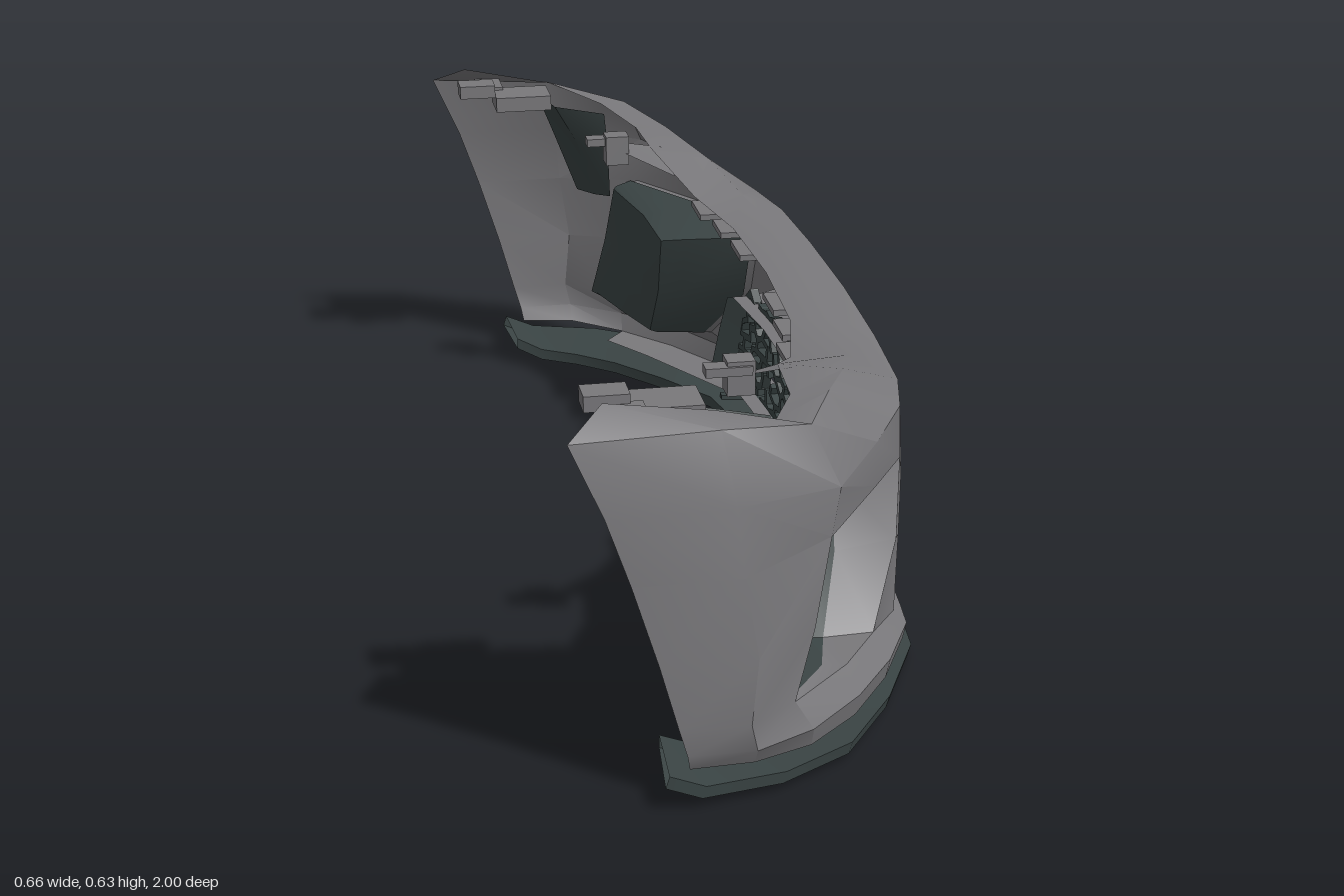
import * as THREE from 'three';
import { mergeGeometries, toCreasedNormals } from 'three/addons/utils/BufferGeometryUtils.js';

const paint = new THREE.MeshStandardMaterial({ color: 0x79787b, side: THREE.DoubleSide });
paint.name = 'grey body paint';
const plastic = new THREE.MeshStandardMaterial({ color: 0x3a4444, side: THREE.DoubleSide });
plastic.name = 'dark plastic';

// Surface spanned between rows of [x, y, z] points
function loft(rows, closed = false) {
  const pos = [], n = rows[0].length, last = closed ? rows.length : rows.length - 1;
  for (let i = 0; i < last; i++) {
    const a = rows[i], b = rows[(i + 1) % rows.length];
    for (let j = 0; j < n - 1; j++) {
      pos.push(...a[j], ...b[j], ...b[j + 1], ...a[j], ...b[j + 1], ...a[j + 1]);
    }
  }
  const g = new THREE.BufferGeometry();
  g.setAttribute('position', new THREE.Float32BufferAttribute(pos, 3));
  return toCreasedNormals(g, 0.6);
}

const flip = ([x, y, z]) => [x, y, -z];
// Half row (centre to left end) extended to the full width
const fullRow = (row) => [...row.slice(1).reverse(), row[0], ...row.slice(1).map(flip)];
const shift = (row, dx, dy = 0) => row.map(([x, y, z]) => [x + dx, y + dy, z]);

function box(x0, x1, y0, y1, z0, z1) {
  return new THREE.BoxGeometry(x1 - x0, y1 - y0, Math.abs(z1 - z0))
    .translate((x0 + x1) / 2, (y0 + y1) / 2, (z0 + z1) / 2);
}

// Thin bar between two points
function bar(a, b, t, d) {
  const va = new THREE.Vector3(...a), vb = new THREE.Vector3(...b);
  const m = new THREE.Object3D();
  m.position.copy(va).add(vb).multiplyScalar(0.5);
  m.lookAt(vb);
  m.updateMatrix();
  return new THREE.BoxGeometry(d, t, va.distanceTo(vb) + t * 0.6).applyMatrix4(m.matrix);
}

export function createModel() {
  const model = new THREE.Group();
  model.name = 'frontBumper';
  const add = (name, geometry, material) => {
    const mesh = new THREE.Mesh(geometry, material);
    mesh.name = name;
    model.add(mesh);
  };
  const addPair = (name, rows, material) => {
    add(name + 'Left', loft(rows), material);
    add(name + 'Right', loft(rows.map((r) => r.map(flip).reverse())), material);
  };

  // Upper fascia: rear flange, crest, crease, lower edge
  const flange = [[.165, .488, 0], [.155, .488, .25], [.115, .495, .43], [.06, .545, .58], [.05, .55, .72], [0, .565, .85], [-.1, .603, .89], [-.27, .634, .91]];
  const crest = [[.24, .488, 0], [.235, .488, .25], [.21, .492, .43], [.17, .525, .57], [.11, .55, .72], [.05, .562, .87], [-.1, .592, .94], [-.33, .598, .97]];
  const crease = [[.308, .452, 0], [.303, .452, .25], [.292, .452, .45], [.265, .455, .57], [.19, .46, .72], [.09, .47, .9], [-.08, .48, .97], [-.278, .48, .978]];
  const edge = [[.318, .295, 0], [.312, .295, .25], [.3, .29, .46], [.27, .36, .56], [.19, .385, .72], [.08, .385, .89], [-.07, .37, .98], [-.24, .37, .98]];
  add('upperFascia', loft([flange, crest, crease, edge].map(fullRow)), paint);

  // Raised centre plate mount
  const mountTop = [[.314, .435, 0], [.31, .435, .23]];
  const mountBottom = [[.322, .29, 0], [.317, .29, .19]];
  add('plateMount', loft([shift(mountTop, -.02), mountTop, mountBottom, shift(mountBottom, -.03)].map(fullRow)), paint);

  // Side panels behind the lamp openings
  addPair('sidePanel', [
    edge.slice(5),
    [[.05, .25, .92], [-.05, .24, .988], [-.2, .24, .985]],
    [[.02, .13, .925], [-.06, .13, .988], [-.17, .13, .987]],
    [[.05, .08, .925], [-.05, .085, .985], [-.157, .085, .985]],
    [[.05, .045, .91], [-.05, .055, .965], [-.152, .058, .975]],
  ], paint);

  // Pillars between grille and lamps
  addPair('pillar', [
    [edge[2], edge[3]],
    [[.285, .2, .51], [.26, .23, .59]],
    [[.265, .09, .57], [.2, .115, .69]],
  ], paint);

  // Lower lip
  const lip = [
    [[.27, .085, 0], [.265, .085, .3], [.265, .088, .52], [.265, .09, .57], [.2, .115, .69], [.13, .12, .8], [.02, .13, .925]],
    [[.313, .075, 0], [.306, .075, .3], [.29, .073, .52], [.285, .07, .58], [.225, .075, .71], [.145, .08, .83], [.05, .08, .925]],
    [[.313, .055, 0], [.306, .055, .3], [.287, .053, .52], [.282, .038, .57], [.22, .037, .7], [.14, .04, .82], [.05, .045, .91]],
    [[.24, .055, 0], [.235, .055, .3], [.22, .053, .52], [.21, .037, .55], [.15, .036, .66], [.08, .04, .77], [.01, .045, .86]],
  ];
  add('lowerLip', loft(lip.map(fullRow)), paint);

  // Lamp recesses: painted surround, dark inner wall and floor
  const opening = [edge[3], edge[4], edge[5], [.05, .25, .92], [.02, .13, .925], [.13, .12, .8], [.2, .115, .69], [.26, .23, .59], edge[3]];
  const inner = [[.15, .355, .585], [.13, .372, .72], [.06, .375, .888], [.04, .25, .916], [.012, .135, .922], [.09, .122, .8], [.115, .118, .7], [.15, .23, .62], [.15, .355, .585]];
  const floor = [[.1, .35, .6], [.085, .365, .72], [.05, .37, .885], [.035, .25, .912], [.01, .138, .918], [.06, .125, .8], [.095, .122, .705], [.1, .23, .635], [.1, .35, .6]];
  const centre = floor.map(() => [.07, .25, .76]);
  addPair('lampRecess', [opening, inner], paint);
  addPair('lampPanel', [inner, floor, centre], plastic);
  addPair('lampHousing', [shift(opening, -.014), shift(inner, -.025), shift(floor, -.02), shift(centre, -.02)], plastic);

  // Frame around the grille: dark sides and sill, painted head and return
  const mouth = [edge[0], edge[1], edge[2], [.285, .2, .51], [.265, .09, .57], [.265, .085, .3], [.27, .085, 0]];
  const throat = [[.262, .283, 0], [.255, .283, .25], [.235, .278, .45], [.225, .2, .48], [.215, .1, .515], [.235, .097, .3], [.245, .097, 0]];
  addPair('grilleHead', [mouth.slice(0, 3), throat.slice(0, 3), shift(throat.slice(0, 3), -.04)], paint);
  addPair('grilleFrame', [mouth.slice(2), throat.slice(2)], plastic);
  addPair('grilleReturnSide', [throat.slice(2, 5), shift(throat.slice(2, 5), -.05)], plastic);
  addPair('grilleReturnBottom', [throat.slice(4), shift(throat.slice(4), -.03)], paint);

  // Irregular honeycomb grille
  let seed = 7;
  const rand = () => (seed = (seed * 16807) % 2147483647) / 2147483647;
  const cols = 36, rowsN = 6, nodes = [], bars = [];
  for (let j = 0; j <= rowsN; j++) {
    nodes.push([]);
    for (let i = 0; i <= cols; i++) {
      const y = .097 + j * .031 + ((i + j) % 2 ? .005 : -.005) + (rand() - .5) * .013;
      const half = .525 - (y - .095) * .4;
      const z = (i / cols * 2 - 1) * half + (rand() - .5) * .018;
      nodes[j].push([.255 - z * z * .12, y, z]);
    }
  }
  for (let j = 0; j <= rowsN; j++) {
    for (let i = 0; i <= cols; i++) {
      if (i < cols && rand() > .14) bars.push(bar(nodes[j][i], nodes[j][i + 1], .01 + rand() * .006, .016));
      if (j < rowsN && (i + j) % 2 && rand() > .08) bars.push(bar(nodes[j][i], nodes[j + 1][i], .013, .016));
    }
  }
  add('grilleMesh', mergeGeometries(bars), plastic);

  // Splitter blade with upturned ends
  const outer = [[.33, .02, 0], [.322, .02, .3], [.297, .024, .57], [.215, .03, .75], [.12, .032, .89], [0, .034, .965], [-.13, .038, .995], [-.187, .062, .998]];
  const back = [[.225, .033, 0], [.215, .033, .3], [.17, .033, .54], [.09, .033, .66], [.01, .033, .76], [-.06, .033, .82], [-.13, .036, .855], [-.18, .06, .865]];
  add('splitter', loft([back, outer, shift(outer, -.006, -.02), shift(back, 0, -.022)].map(fullRow), true), plastic);

  // Mounting tabs along the top flange
  const tabs = [[.1, .19, .138], [.23, .31, .128], [.34, .43, .11]].flatMap(([z0, z1, x]) =>
    [1, -1].map((s) => box(x, .18, .476, .487, s * z0, s * z1)));
  add('mountingTabs', mergeGeometries(tabs), paint);

  for (const [side, s] of [['Left', 1], ['Right', -1]]) {
    // Headlamp mounts with tapering arm
    add('headlampMount' + side, mergeGeometries([
      box(-.065, .01, .55, .565, s * .605, s * .635),
      box(-.03, .015, .515, .572, s * .59, s * .63),
    ]), paint);
    add('headlampArm' + side, loft([
      [[.09, .515, s * .5], [.0, .54, s * .6]],
      [[.08, .545, s * .6], [.0, .55, s * .63]],
    ]), paint);
    // Wing brackets
    add('wingBracket' + side, mergeGeometries([
      box(-.29, -.22, .6, .625, s * .81, s * .86),
      box(-.22, -.11, .575, .604, s * .79, s * .87),
      box(-.25, -.2, .6, .61, s * .85, s * .92),
    ]), paint);
    // Inner corner flange running down to the lamp housing
    add('cornerFlange' + side, loft([
      [[-.13, .59, s * .88], [-.1, .575, s * .81], [0, .555, s * .81]],
      [[-.09, .49, s * .91], [-.05, .485, s * .85], [.01, .48, s * .83]],
      [[-.04, .36, s * .93], [-.01, .36, s * .89], [.02, .36, s * .87]],
    ]), plastic);
    // Splitter stay below the grille corner
    add('splitterStay' + side, box(.19, .27, .026, .04, s * .525, s * .545), plastic);
  }
  return model;
}
